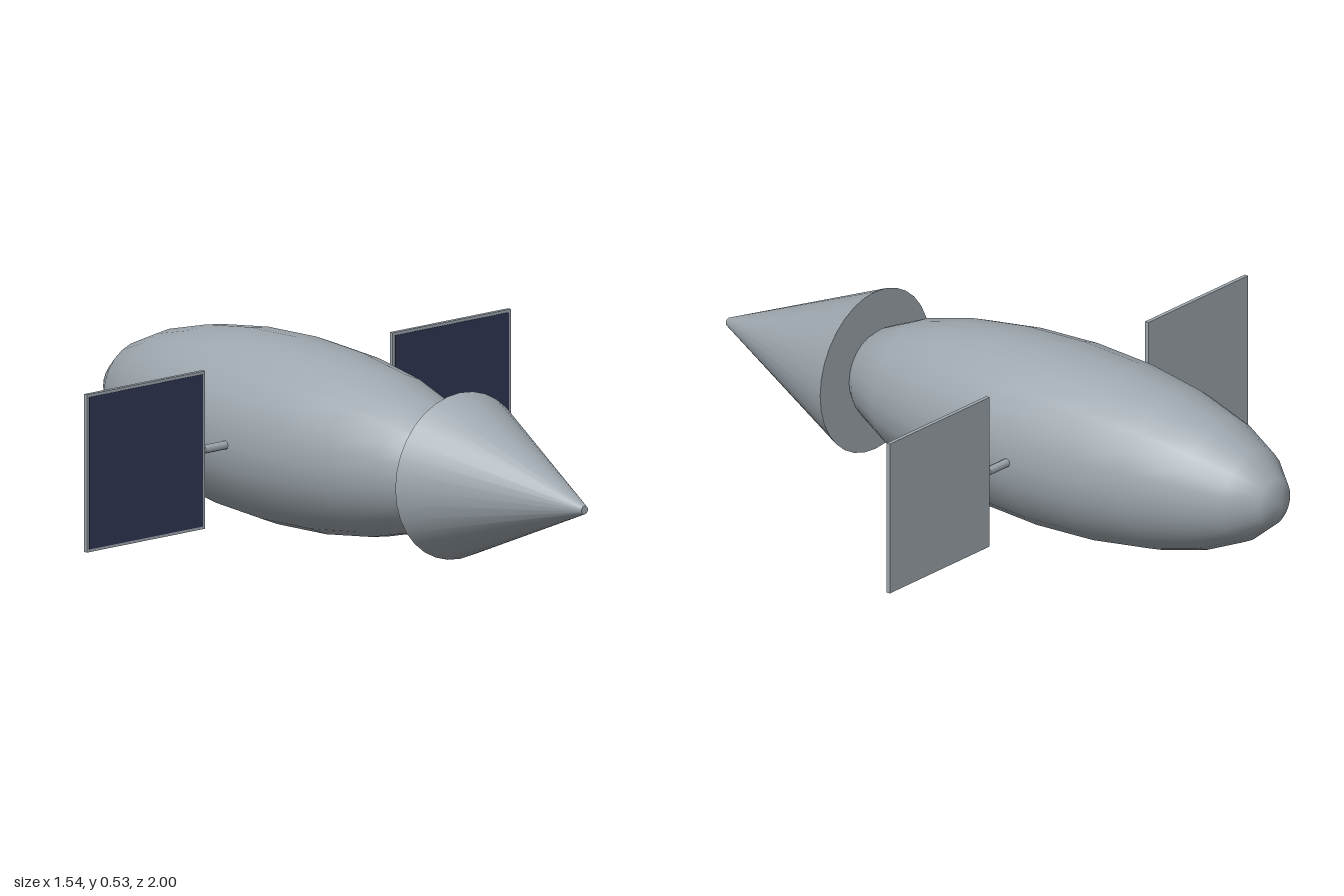
import * as THREE from 'three';

export function createModel() {
  const model = new THREE.Group();
  const hull = new THREE.MeshStandardMaterial({ color: 0x9ea7ae });
  hull.name = 'hull grey';
  const cell = new THREE.MeshStandardMaterial({ color: 0x2d3552 });
  cell.name = 'solar cell blue';

  const axisY = 0.266; // height of the long axis
  const midZ = -0.225; // centre of the body along z

  function add(name, geometry, material, x, y, z) {
    const mesh = new THREE.Mesh(geometry, material);
    mesh.name = name;
    mesh.position.set(x, y, z);
    model.add(mesh);
    return mesh;
  }

  // Long ellipsoid body, poles along z
  const bodyGeo = new THREE.SphereGeometry(1, 24, 12);
  bodyGeo.rotateX(Math.PI / 2);
  bodyGeo.scale(0.264, 0.266, 0.775);
  add('body', bodyGeo, hull, 0, axisY, midZ);

  // Front cone with a tiny blunt tip
  const coneGeo = new THREE.CylinderGeometry(0.012, 0.237, 0.53, 32);
  coneGeo.rotateX(Math.PI / 2);
  add('noseCone', coneGeo, hull, 0, axisY, 0.735);

  // Strut, panel and blue front face on each side
  for (const [side, s] of [['left', 1], ['right', -1]]) {
    const strutGeo = new THREE.CylinderGeometry(0.0125, 0.0125, 0.12, 8);
    strutGeo.rotateZ(Math.PI / 2);
    add(side + 'Strut', strutGeo, hull, s * 0.283, axisY, midZ);

    add(side + 'Panel', new THREE.BoxGeometry(0.43, 0.45, 0.012), hull, s * 0.557, axisY, midZ);
    add(side + 'SolarCells', new THREE.BoxGeometry(0.414, 0.434, 0.002), cell, s * 0.557, axisY, midZ + 0.0065);
  }

  return model;
}
